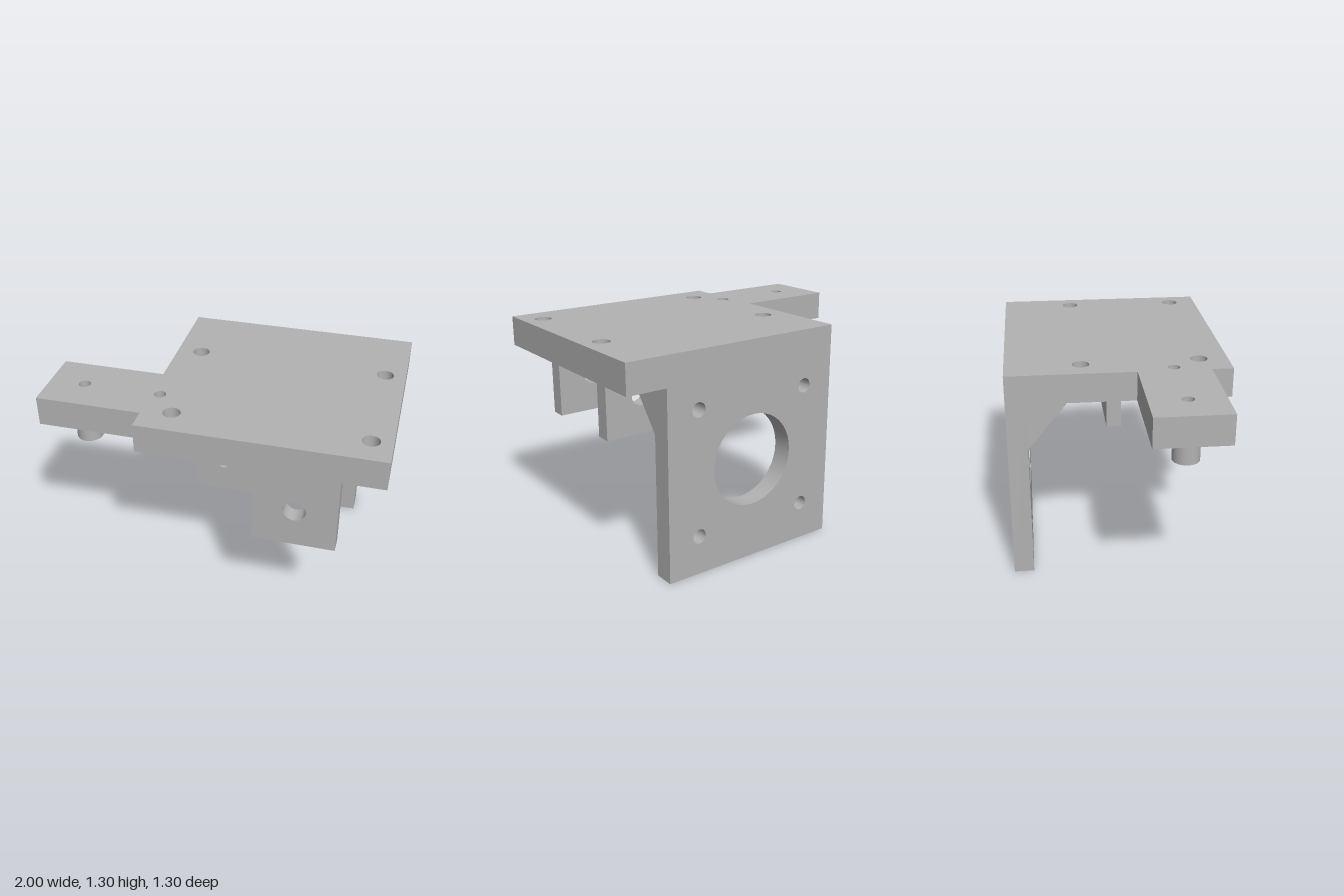
import * as THREE from 'three';
import { toCreasedNormals } from 'three/addons/utils/BufferGeometryUtils.js';

const grey = new THREE.MeshStandardMaterial({ color: 0xb2b2b2 });
grey.name = 'bracket grey';

// Polygon outline with round holes given as [x, y, radius]
function outline(points, holes = []) {
  const shape = new THREE.Shape(points.map(([x, y]) => new THREE.Vector2(x, y)));
  for (const [x, y, r] of holes) shape.holes.push(new THREE.Path().absarc(x, y, r, 0, Math.PI * 2, true));
  return shape;
}

const rect = (x0, y0, x1, y1) => [[x0, y0], [x1, y0], [x1, y1], [x0, y1]];

function extrude(shape, depth) {
  return new THREE.ExtrudeGeometry(shape, { depth, bevelEnabled: false, curveSegments: 20 });
}

export function createModel() {
  const model = new THREE.Group();
  model.name = 'mountingBracket';

  function add(name, geometry, material = grey) {
    const mesh = new THREE.Mesh(toCreasedNormals(geometry, 0.5), material);
    mesh.name = name;
    model.add(mesh);
    return mesh;
  }

  // Upright slab facing +z, from z0 to z1
  const upright = (name, shape, z0, z1) => add(name, extrude(shape, z1 - z0).translate(0, 0, z0));
  // Horizontal slab from y0 to y1; the outline is drawn in (x, -z)
  const flat = (name, shape, y0, y1) =>
    add(name, extrude(shape, y1 - y0).rotateX(-Math.PI / 2).translate(0, y0, 0));

  const top = 1.3, under = 1.125, sinkDepth = 0.055;

  // Top plate with side arm, in two layers so the screw holes can be countersunk below
  const plate = [[-0.385, -0.65], [1, -0.65], [1, 0.65], [-0.385, 0.65],
    [-0.385, -0.1], [-1, -0.1], [-1, -0.525], [-0.385, -0.525]];
  const screws = [[-0.24, 0.21], [0.88, 0.21], [-0.215, -0.48], [0.88, -0.48]];
  const bosses = [[-0.79, -0.315], [-0.335, -0.315]];
  const plateHoles = (r) => [...screws.map((p) => [...p, r]), ...bosses.map((p) => [...p, 0.035])];
  flat('topPlate', outline(plate, plateHoles(0.05)), under + sinkDepth, top);
  flat('topPlateUnderside', outline(plate, plateHoles(0.105)), under, under + sinkDepth);

  // Countersink cones, facing inward
  const inward = grey.clone();
  inward.side = THREE.DoubleSide;
  for (const [x, y] of screws) {
    const cone = new THREE.CylinderGeometry(0.05, 0.105, sinkDepth, 40, 1, true);
    add('countersink', cone.translate(x, under + sinkDepth / 2, -y), inward);
  }

  // Hollow bosses under the arm
  for (const [x, y] of bosses) {
    const ring = new THREE.Shape().absarc(x, y, 0.077, 0, Math.PI * 2, false);
    ring.holes.push(new THREE.Path().absarc(x, y, 0.035, 0, Math.PI * 2, true));
    flat('boss', ring, 0.95, under);
  }

  // Back wall with the large bore and four bolt holes
  const mid = 0.1875, boltX = 0.3725, boltR = 0.043;
  const bolts = [];
  for (const s of [-1, 1]) for (const y of [0.23, 0.97]) bolts.push([mid + s * boltX, y, boltR]);
  upright('backWall', outline(rect(-0.385, 0, 0.76, under), [[mid, 0.6, 0.272], ...bolts]), -0.65, -0.53);

  // Gussets: notched by the upper bolt holes, front face sloped by height
  const low = 0.84, reach = 0.23;
  for (const s of [-1, 1]) {
    const inner = mid + s * 0.3775, outer = mid + s * 0.5725;
    const pts = [[inner, low], [outer, low], [outer, under], [inner, under]];
    const half = Math.acos(0.005 / boltR);
    for (let i = 0; i <= 16; i++) {
      const a = half - (2 * half * i) / 16;
      pts.push([mid + s * (boltX + boltR * Math.cos(a)), 0.97 + boltR * Math.sin(a)]);
    }
    const geometry = extrude(outline(pts), reach);
    const pos = geometry.attributes.position;
    for (let i = 0; i < pos.count; i++) {
      if (pos.getZ(i) > 0.01) pos.setZ(i, (reach * (pos.getY(i) - low)) / (under - low));
    }
    add(s < 0 ? 'rightGusset' : 'leftGusset', geometry.translate(0, 0, -0.53));
  }

  // Two hanging lugs with a shared pin hole
  const lug = outline(rect(0.285, 0.647, 0.76, under), [[0.52, 0.885, 0.065]]);
  upright('frontLug', lug, 0.555, 0.65);
  upright('rearLug', lug, -0.015, 0.08);

  return model;
}
